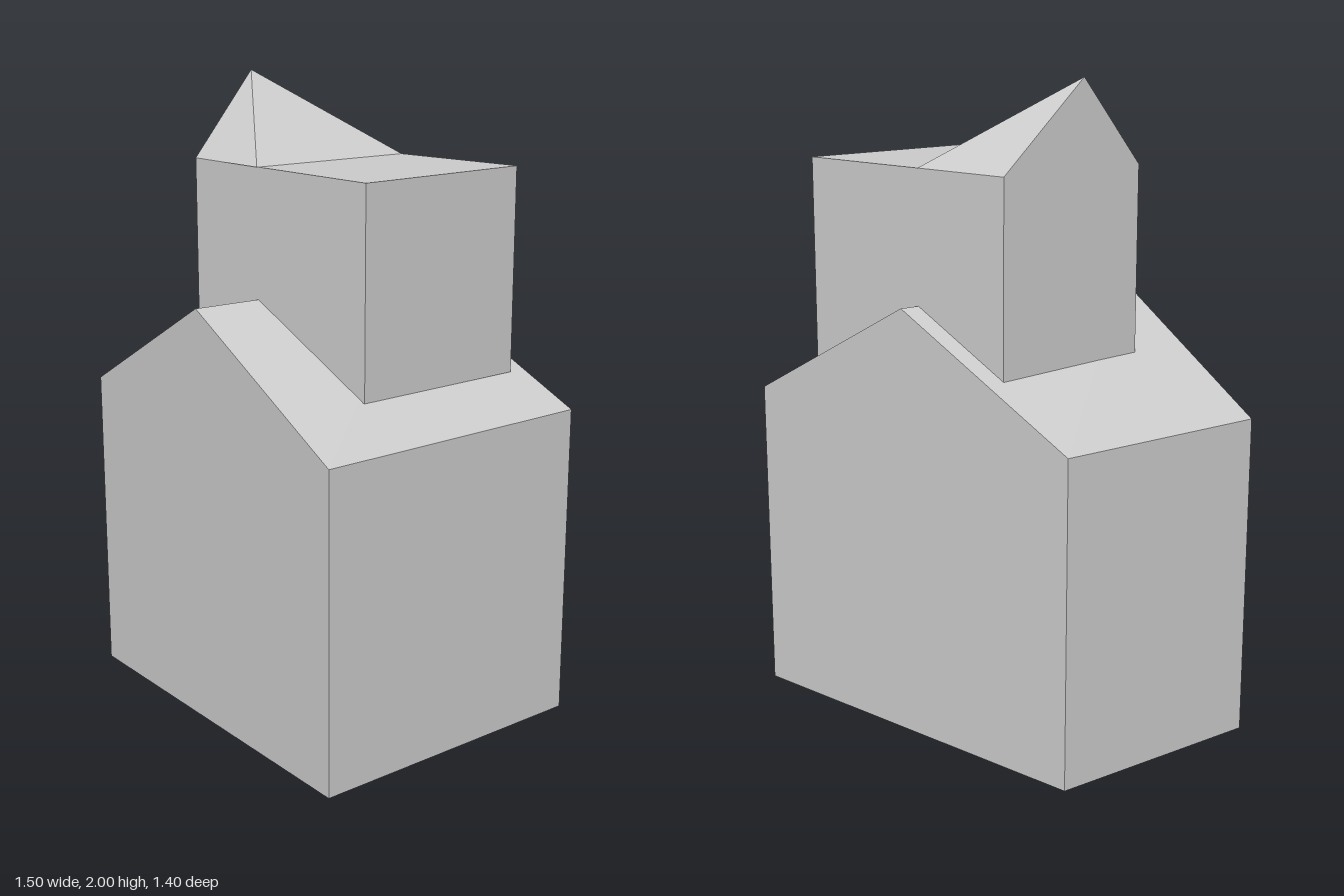
import * as THREE from 'three';
import { ConvexGeometry } from 'three/addons/geometries/ConvexGeometry.js';

const material = new THREE.MeshStandardMaterial({ color: 0xcccccc, flatShading: true });

// Points of a plan outline [x, z] lifted to height y
const level = (outline, y) => outline.map(([x, z]) => new THREE.Vector3(x, y, z));

// Flat-faced solid spanned by its levels
function solid(name, ...levels) {
  const mesh = new THREE.Mesh(new ConvexGeometry(levels.flat()), material);
  mesh.name = name;
  return mesh;
}

export function createModel() {
  const group = new THREE.Group();
  group.name = 'gabledHouseWithTower';

  // House: skewed four-sided walls under a gable roof
  const walls = [[0, 0.7], [0.75, 0.103], [-0.187, -0.7], [-0.75, -0.292]];
  const ridge = [[-0.395, 0.178], [0.287, -0.294]];
  group.add(solid('house', level(walls, 0), level(walls, 1), level(ridge, 1.335)));

  // Tower: flat-topped block rising through the roof
  const tower = [[0.105, 0.393], [0.568, 0.027], [-0.012, -0.475], [-0.41, -0.162]];
  group.add(solid('tower', level(tower, 1.1), level(tower, 1.74)));

  // Tower peak: hipped cap whose apex stands flush over the back wall
  const peak = [[-0.41, -0.162], [-0.012, -0.475], [0.235, -0.261], [-0.212, 0.06]];
  group.add(solid('towerPeak', level(peak, 1.74), level([[-0.24, -0.295]], 2)));

  return group;
}
